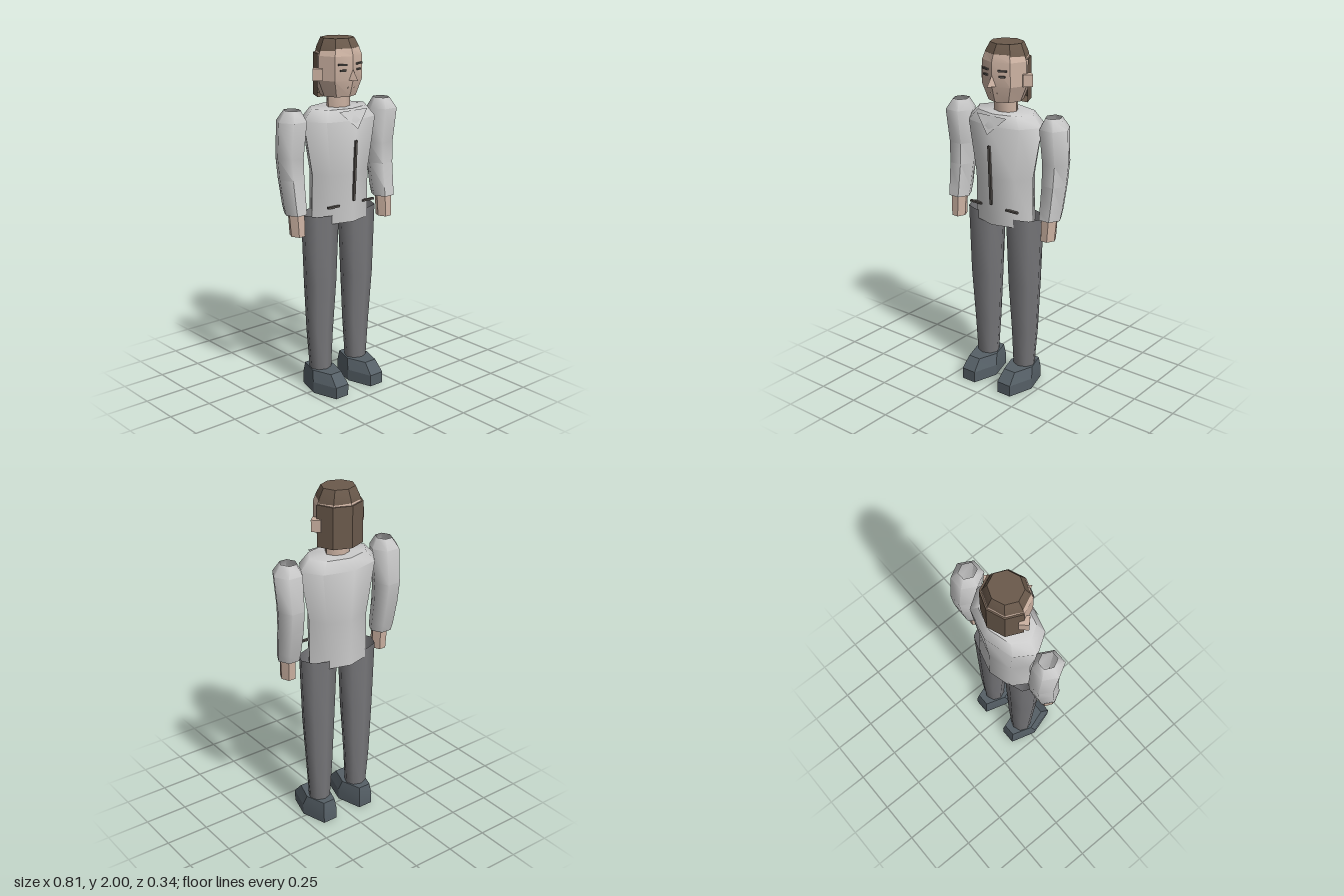
import * as THREE from 'three';
import { toCreasedNormals } from 'three/addons/utils/BufferGeometryUtils.js';

const mat = (color) => new THREE.MeshStandardMaterial({ color, side: THREE.DoubleSide });
const cloth = mat(0xcccccc), skin = mat(0xccb2a2), hair = mat(0x6b5a4c);
const trousers = mat(0x77777a), leather = mat(0x566067), dark = mat(0x55504c);

// Skin rings [y, cx, cz, rx, rz] of n corners; from/to limit the arc (0 = +x, PI/2 = front)
function loft(rings, n, { from = 0, to = Math.PI * 2, bottom = true, top = true, crease = 0.9 } = {}) {
  const pos = [];
  const point = ([y, cx, cz, rx, rz], i) => {
    const a = from + (to - from) * i / n;
    return [cx + rx * Math.cos(a), y, cz + rz * Math.sin(a)];
  };
  const centre = ([y, cx, cz]) => [cx, y, cz];
  const last = rings[rings.length - 1];
  for (let i = 0; i < n; i++) {
    for (let r = 0; r + 1 < rings.length; r++) {
      const a = point(rings[r], i), b = point(rings[r], i + 1);
      const c = point(rings[r + 1], i + 1), d = point(rings[r + 1], i);
      pos.push(...a, ...d, ...c, ...a, ...c, ...b);
    }
    if (bottom) pos.push(...centre(rings[0]), ...point(rings[0], i), ...point(rings[0], i + 1));
    if (top) pos.push(...centre(last), ...point(last, i + 1), ...point(last, i));
  }
  const g = new THREE.BufferGeometry();
  g.setAttribute('position', new THREE.Float32BufferAttribute(pos, 3));
  return toCreasedNormals(g, crease);
}

export function createModel() {
  const model = new THREE.Group();
  const add = (name, geometry, material) => {
    const m = new THREE.Mesh(geometry, material);
    m.name = name;
    model.add(m);
    return m;
  };
  const bar = (name, w, h, d, x, y, z, material) => {
    const m = add(name, new THREE.BoxGeometry(w, h, d), material);
    m.position.set(x, y, z);
    return m;
  };

  // Jacket body
  add('jacketBody', loft([
    [1.0, 0, -0.018, 0.19, 0.128], [1.27, 0, -0.015, 0.186, 0.13],
    [1.57, 0, -0.017, 0.242, 0.154], [1.63, 0, -0.018, 0.183, 0.118],
  ], 8), cloth);

  // Triangular collar flap and front zip
  const collar = new THREE.BufferGeometry();
  collar.setAttribute('position', new THREE.Float32BufferAttribute(
    [-0.1, 1.622, 0.108, 0, 1.525, 0.147, 0.1, 1.622, 0.108], 3));
  collar.computeVertexNormals();
  add('collar', collar, cloth);
  bar('zip', 0.014, 0.34, 0.012, 0, 1.29, 0.123, dark).rotation.x = 0.05;

  // Neck and head
  add('neck', loft([[1.6, 0, -0.018, 0.07, 0.058], [1.72, 0, -0.018, 0.07, 0.058]], 8), skin);
  add('head', loft([
    [1.69, 0, -0.02, 0.096, 0.098], [1.78, 0, -0.02, 0.135, 0.125],
    [1.91, 0, -0.02, 0.133, 0.125], [1.95, 0, -0.02, 0.115, 0.112],
  ], 8, { crease: 0.3 }), skin);

  // Hair: crown and a shell wrapped around the back
  add('hairCrown', loft([
    [1.92, 0, -0.022, 0.127, 0.118], [1.95, 0, -0.022, 0.118, 0.113],
    [2.0, 0, -0.025, 0.094, 0.088],
  ], 8, { crease: 0.3 }), hair);
  add('backHair', loft([
    [1.69, 0, -0.025, 0.138, 0.125], [1.92, 0, -0.025, 0.138, 0.125],
  ], 4, { from: Math.PI, to: Math.PI * 2, crease: 0.3 }), hair);

  // Nose and mouth
  add('nose', loft([
    [1.782, 0, 0.112, 0.026, 0.034], [1.845, 0, 0.1, 0.002, 0.002],
  ], 3, { from: Math.PI / 2, to: Math.PI * 2.5, crease: 0.1 }), skin);
  bar('mouth', 0.045, 0.005, 0.012, 0, 1.742, 0.084, skin);

  for (const s of [-1, 1]) {
    const side = s > 0 ? 'left' : 'right';

    // Face details
    bar(side + 'Brow', 0.05, 0.009, 0.012, s * 0.057, 1.867, 0.088, dark).rotation.y = s * 0.36;
    bar(side + 'Eye', 0.034, 0.01, 0.01, s * 0.055, 1.836, 0.088, dark).rotation.y = s * 0.36;
    add(side + 'Ear', loft([
      [1.78, s * 0.137, -0.023, 0.037, 0.037], [1.845, s * 0.137, -0.023, 0.037, 0.037],
    ], 4, { crease: 0.1 }), skin);

    // Sleeve, open at shoulder and cuff
    add(side + 'Sleeve', loft([
      [1.08, s * 0.317, 0, 0.063, 0.069], [1.13, s * 0.318, -0.01, 0.068, 0.074],
      [1.27, s * 0.32, -0.032, 0.074, 0.08], [1.39, s * 0.322, -0.04, 0.079, 0.084],
      [1.585, s * 0.322, -0.018, 0.085, 0.09], [1.643, s * 0.317, -0.018, 0.045, 0.052],
    ], 6, { bottom: false, top: false, crease: 1.08 }), cloth);
    add(side + 'Hand', loft([
      [0.96, s * 0.315, 0.012, 0.04, 0.05], [1.1, s * 0.317, 0.005, 0.047, 0.05],
    ], 6, { crease: 0.3 }), skin);

    // Pocket slit
    bar(side + 'Pocket', 0.08, 0.01, 0.016, s * 0.125, 1.1, 0.09, dark);

    // Trouser leg and shoe
    add(side + 'Leg', loft([
      [0.11, s * 0.132, -0.021, 0.063, 0.059], [0.35, s * 0.134, -0.024, 0.08, 0.07],
      [0.65, s * 0.134, -0.018, 0.097, 0.085], [1.05, s * 0.132, -0.018, 0.111, 0.098],
    ], 8, { bottom: false, top: false }), trousers);
    add(side + 'Shoe', loft([
      [0, s * 0.13, 0.022, 0.088, 0.171], [0.067, s * 0.13, 0.022, 0.09, 0.172],
      [0.13, s * 0.13, 0, 0.076, 0.134],
    ], 6, { crease: 0.3 }), leather);
  }
  return model;
}
